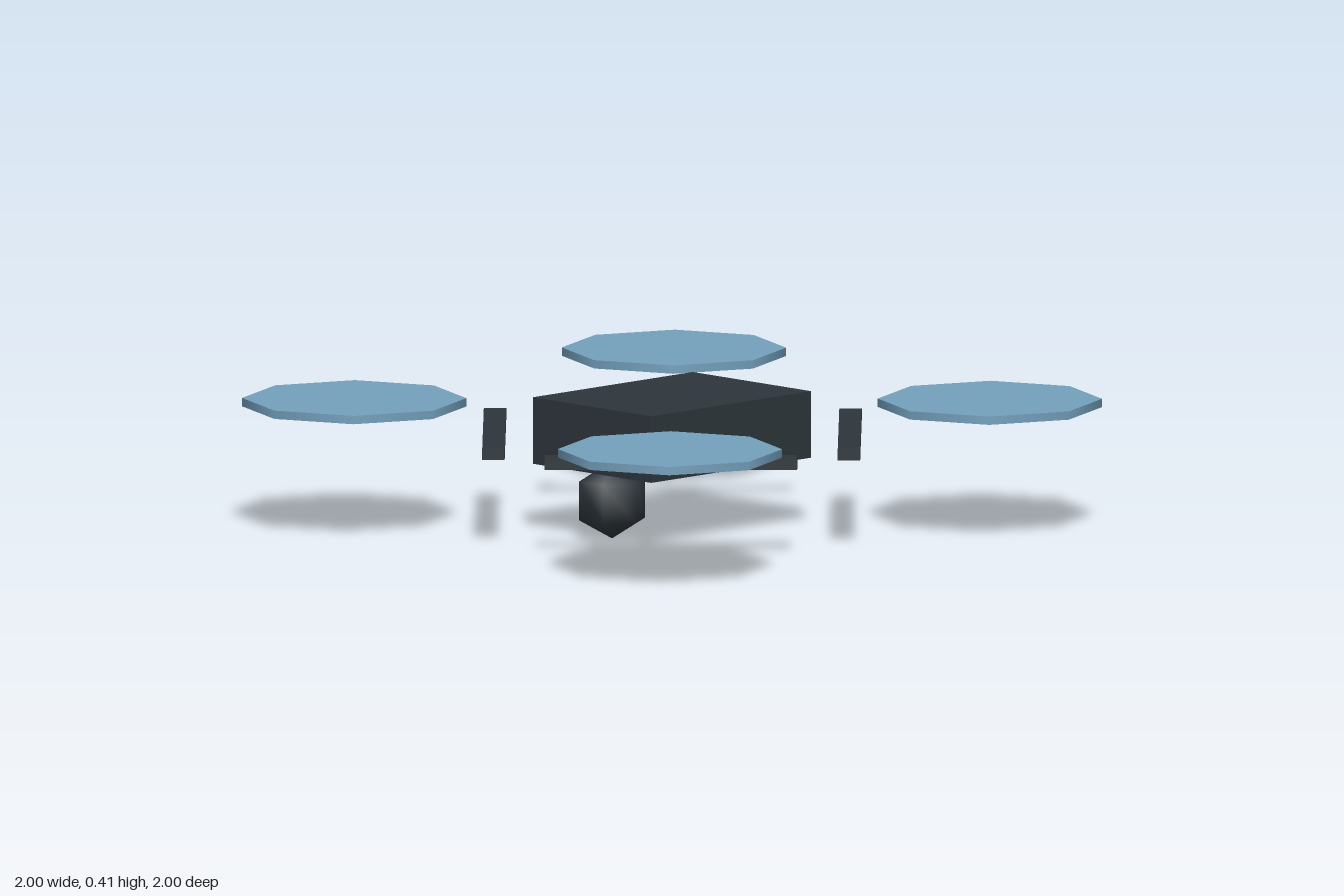
import * as THREE from 'three';

export function createModel() {
  const model = new THREE.Group();
  model.name = 'quadcopter';

  const charcoal = new THREE.MeshStandardMaterial({ color: 0x2d353b });
  charcoal.name = 'charcoal';
  const rotorBlue = new THREE.MeshStandardMaterial({ color: 0x74a0bd });
  rotorBlue.name = 'rotor blue';

  const add = (name, geometry, material, x, y, z) => {
    const mesh = new THREE.Mesh(geometry, material);
    mesh.name = name;
    mesh.position.set(x, y, z);
    model.add(mesh);
    return mesh;
  };

  // Central body
  add('body', new THREE.BoxGeometry(0.5, 0.2, 0.667), charcoal, 0, 0.307, 0);

  // Faceted camera ball hanging under the nose
  add('camera', new THREE.SphereGeometry(0.1167, 6, 3), charcoal, 0, 0.1187, 0.25);

  // Four diagonal arms and rotor discs, one per corner
  const armGeometry = new THREE.BoxGeometry(0.75, 0.035, 0.0667);
  const rotorGeometry = new THREE.CylinderGeometry(0.333, 0.333, 0.025, 8);
  for (const [side, sx] of [['Left', 1], ['Right', -1]]) {
    for (const [end, sz] of [['front', 1], ['back', -1]]) {
      const arm = add(`${end}${side}Arm`, armGeometry, charcoal, sx * 0.373, 0.287, sz * 0.373);
      arm.rotation.y = sx * sz * Math.PI / 4;
      add(`${end}${side}Rotor`, rotorGeometry, rotorBlue, sx * 0.667, 0.382, sz * 0.667);
    }
  }

  return model;
}
